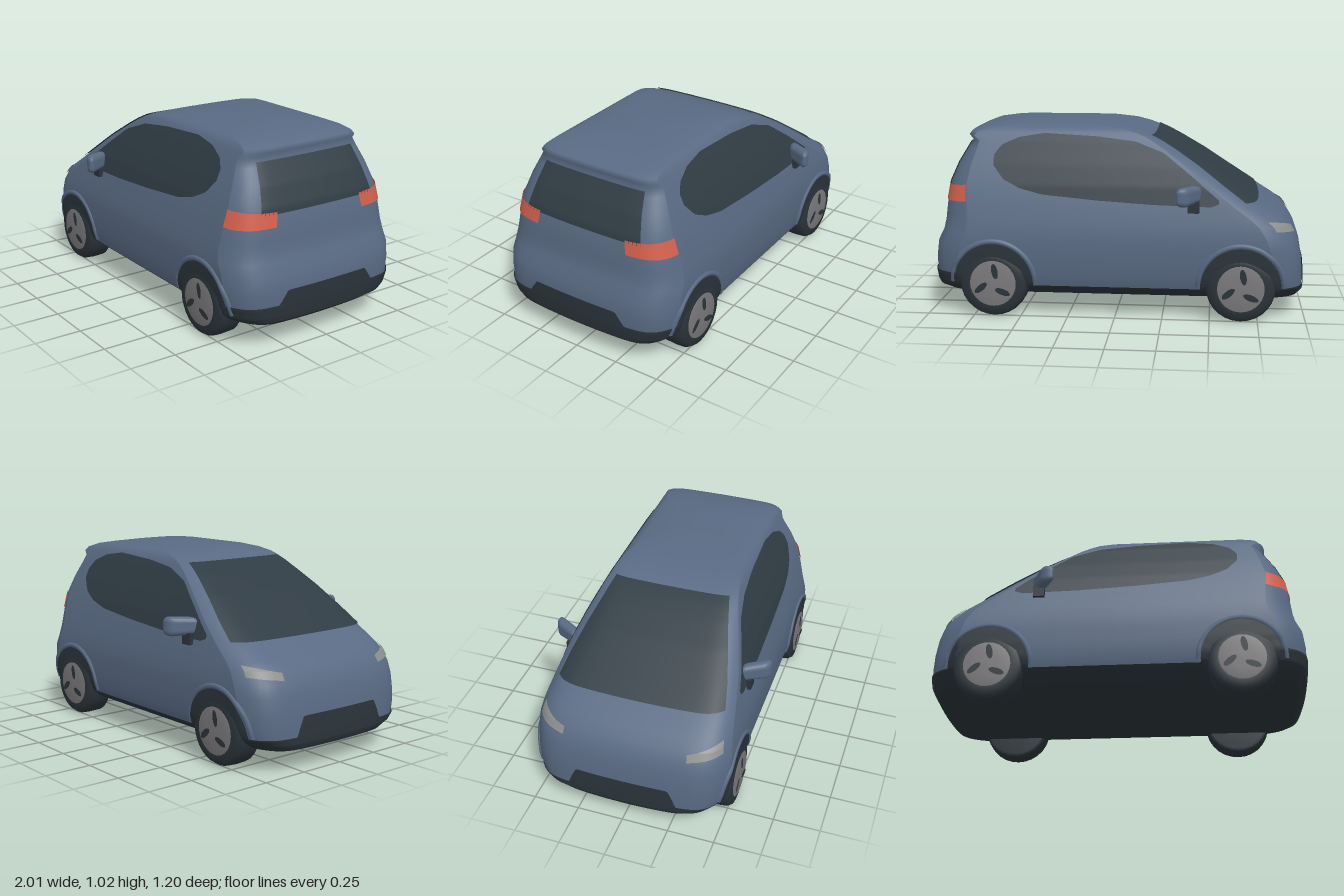
import * as THREE from 'three';
import { mergeVertices } from 'three/addons/utils/BufferGeometryUtils.js';
import { RoundedBoxGeometry } from 'three/addons/geometries/RoundedBoxGeometry.js';

const paint = (name, color, side = THREE.FrontSide) => {
  const m = new THREE.MeshStandardMaterial({ color, side });
  m.name = name;
  return m;
};

// Body rings, stacked by height: [y, front x, rear x, half width, corner bow]
const RINGS = [
  [0.11, -0.985, 0.95, 0.42, 1], [0.14, -1.0, 0.985, 0.47, 1], [0.17, -1.0, 0.99, 0.505, 1],
  [0.22, -0.998, 0.995, 0.52, 1], [0.3, -0.992, 0.995, 0.526, 1], [0.38, -0.978, 0.985, 0.527, 1],
  [0.44, -0.957, 0.955, 0.525, 1], [0.5, -0.92, 0.942, 0.514, 1], [0.54, -0.87, 0.938, 0.505, 0.97],
  [0.6, -0.775, 0.93, 0.491, 0.9], [0.7, -0.62, 0.91, 0.464, 0.75], [0.8, -0.47, 0.865, 0.425, 0.6],
  [0.88, -0.335, 0.815, 0.388, 0.45], [0.92, -0.26, 0.79, 0.37, 0.36], [0.945, -0.205, 0.812, 0.356, 0.3],
  [0.965, -0.155, 0.795, 0.346, 0.3], [0.985, -0.09, 0.745, 0.326, 0.4], [1.0, 0.0, 0.66, 0.29, 0.6],
  [1.012, 0.14, 0.58, 0.18, 0.5], [1.02, 0.32, 0.48, 0, 0],
];
const SILL = 2;

function ringAt(y) {
  let i = 0;
  while (i < RINGS.length - 2 && RINGS[i + 1][0] < y) i++;
  const a = RINGS[i], b = RINGS[i + 1], t = (y - a[0]) / (b[0] - a[0]);
  return a.map((v, k) => v + (b[k] - v) * t);
}
const curve = q => 0.03 * q * q + 0.14 * Math.pow(q, 10);
const endX = (r, dir, q) => (dir < 0 ? r[1] : r[2]) - dir * r[4] * curve(q);

// Point on a ring: nose, left side, tail, right side
function outline(r, u) {
  const t = u * 6, seg = Math.min(5, Math.floor(t)), s = t - seg;
  const out = 1 - (1 - s) ** 2, back = 1 - s * s;
  const xa = endX(r, -1, 1), xb = endX(r, 1, 1);
  const at = (dir, q) => [endX(r, dir, q), r[0], q * r[3]];
  return [
    () => at(-1, out), () => [xa + (xb - xa) * s, r[0], r[3]], () => at(1, back),
    () => at(1, -out), () => [xb + (xa - xb) * s, r[0], -r[3]], () => at(-1, -back),
  ][seg]();
}

// Half width of the body at a side position
function halfWidth(x, y) {
  const r = ringAt(y), dir = x < 0 ? -1 : 1;
  if (dir * x <= dir * endX(r, dir, 1)) return r[3];
  let lo = 0, hi = 1;
  for (let i = 0; i < 24; i++) {
    const q = (lo + hi) / 2;
    if (dir * endX(r, dir, q) > dir * x) lo = q; else hi = q;
  }
  return lo * r[3];
}

function grid(fn, nu, nv, flip = false) {
  const pos = [], idx = [];
  for (let j = 0; j <= nv; j++) for (let i = 0; i <= nu; i++) pos.push(...fn(i / nu, j / nv));
  for (let j = 0; j < nv; j++) for (let i = 0; i < nu; i++) {
    const a = j * (nu + 1) + i, b = a + 1, c = b + nu + 1, d = c - 1;
    idx.push(...(flip ? [a, c, b, a, d, c] : [a, b, c, a, c, d]));
  }
  let g = new THREE.BufferGeometry();
  g.setAttribute('position', new THREE.Float32BufferAttribute(pos, 3));
  g.setIndex(idx);
  g = mergeVertices(g, 1e-5);
  g.computeVertexNormals();
  return g;
}

function lerpPath(pts, x) {
  let i = 0;
  while (i < pts.length - 2 && pts[i + 1][0] < x) i++;
  const [a, b] = [pts[i], pts[i + 1]];
  return a[1] + (b[1] - a[1]) * (x - a[0]) / (b[0] - a[0]);
}

export function createModel() {
  const car = new THREE.Group();
  car.name = 'car';
  const body = paint('body blue', 0x596a83);
  const glass = paint('dark glass', 0x303c44, THREE.DoubleSide);
  const trim = paint('dark trim', 0x2b343a, THREE.DoubleSide);
  const red = paint('tail light red', 0xd2604c, THREE.DoubleSide);
  const lamp = paint('headlight grey', 0x8b8d8c, THREE.DoubleSide);
  const alloy = paint('hub grey', 0x7b797b);
  const add = (name, geo, mat, parent = car) => {
    const m = new THREE.Mesh(geo, mat);
    m.name = name;
    parent.add(m);
    return m;
  };

  // Shell, lower skirt and floor
  const rows = (a, b) => (u, v) => outline(RINGS[Math.round(a + (b - a) * v)], u);
  const top = RINGS.length - 1;
  add('bodyShell', grid(rows(SILL, top), 96, top - SILL), body);
  add('lowerSkirt', grid(rows(0, SILL), 96, SILL), trim);
  add('floor', grid((u, v) => {
    const [x, y, z] = outline(RINGS[0], u);
    return [x * v, y, z * v];
  }, 96, 4), trim);

  // Thin panels on the nose (dir -1) or tail (dir 1); f gives [width fraction, y]
  const endPanel = (name, mat, dir, f, nu = 32, nv = 14) => add(name, grid((u, v) => {
    const [q, y] = f(dir > 0 ? 1 - u : u, v), r = ringAt(y);
    return [endX(r, dir, q) + dir * 0.005, y + (dir < 0 ? 0.004 : 0), q * (r[3] + 0.004)];
  }, nu, nv), mat);

  endPanel('windscreen', glass, -1, (u, v) => [(u * 2 - 1) * (0.92 - 0.04 * v), 0.615 + 0.335 * v], 40, 30);
  endPanel('rearWindow', glass, 1, (u, v) => {
    const y = 0.67 + 0.235 * v;
    return [(u * 2 - 1) * (0.35 - 0.05 * v) / ringAt(y)[3], y];
  }, 32, 20);
  const step = q => THREE.MathUtils.clamp((0.57 - Math.abs(q)) / 0.1, 0, 1);
  endPanel('rearBumper', trim, 1, (u, v) => {
    const q = u * 2 - 1;
    return [q, 0.142 + v * (0.09 + 0.07 * step(q))];
  }, 80);
  endPanel('frontBumper', trim, -1, (u, v) => {
    const q = u * 2 - 1;
    return [q, 0.142 + v * (0.035 + 0.1 * step(q))];
  }, 80);

  // Side window outline
  const sillLine = [[-0.54, 0.62], [-0.5, 0.605], [-0.2, 0.612], [0.1, 0.63], [0.38, 0.655], [0.5, 0.685], [0.59, 0.73], [0.645, 0.8]];
  const roofLine = [[-0.54, 0.64], [-0.4, 0.755], [-0.25, 0.87], [-0.1, 0.925], [0.1, 0.948], [0.38, 0.962], [0.52, 0.94], [0.61, 0.9], [0.645, 0.85]];

  for (const s of [1, -1]) {
    const label = s > 0 ? 'left' : 'right';
    add(label + 'SideWindow', grid((u, v) => {
      const x = -0.54 + 1.185 * u, lo = lerpPath(sillLine, x), hi = lerpPath(roofLine, x);
      const y = lo + (hi - lo) * v;
      return [x, y, s * (halfWidth(x, y) + 0.006)];
    }, 60, 24, s < 0), glass);

    // Lights wrap round the corners
    const mirror = f => (u, v) => {
      const [q, y] = f(s > 0 ? u : 1 - u, v);
      return [s * q, y];
    };
    endPanel(label + 'TailLight', red, 1, mirror((u, v) => {
      const lo = 0.608 + 0.025 * Math.max(0, u - 0.7), hi = 0.68 + 0.02 * u;
      return [0.555 + 0.445 * (1 - (1 - u) ** 2), lo + (hi - lo) * v];
    }));
    endPanel(label + 'Headlight', lamp, -1, mirror((u, v) =>
      [0.63 + 0.31 * u, 0.453 + 0.022 * u + v * (0.035 + 0.016 * u)]));

    for (const [place, wx] of [['Front', -0.66], ['Rear', 0.64]]) {
      // Wheel arch with raised lip
      const arch = (a, r, lift) => {
        const x = wx + r * Math.cos(a), y = Math.max(0.115, 0.185 + r * Math.sin(a));
        return [x, y, s * (halfWidth(x, y) + lift)];
      };
      add(label + place + 'Arch', grid((u, v) => arch(-0.35 + (Math.PI + 0.7) * u, 0.21 * (1 - v), 0.005), 40, 12, s < 0), trim);
      const lip = [];
      for (let i = 0; i <= 16; i++) lip.push(new THREE.Vector3(...arch(Math.PI * i / 16, 0.222, -0.004)));
      add(label + place + 'ArchLip', new THREE.TubeGeometry(new THREE.CatmullRomCurve3(lip), 32, 0.015, 8), body);

      // Wheel
      const wheel = new THREE.Group();
      wheel.name = label + place + 'Wheel';
      wheel.position.set(wx, 0.183, s * 0.46);
      if (s < 0) wheel.rotation.y = Math.PI;
      car.add(wheel);
      const tyre = [[0, -0.075], [0.165, -0.075], [0.18, -0.06], [0.183, 0], [0.18, 0.045], [0.165, 0.068], [0.125, 0.074], [0, 0.072]];
      add('tyre', new THREE.LatheGeometry(tyre.map(p => new THREE.Vector2(...p)), 28).rotateX(Math.PI / 2), trim, wheel);
      const hub = [[0.126, 0.07], [0.12, 0.077], [0.06, 0.08], [0, 0.081]];
      add('hub', new THREE.LatheGeometry(hub.map(p => new THREE.Vector2(...p)), 28).rotateX(Math.PI / 2), alloy, wheel);
      for (let k = 0; k < 3; k++) {
        const slot = add('hubSlot', new THREE.CircleGeometry(1, 14).scale(0.042, 0.017, 1).rotateZ(0.35).translate(0.068, 0, 0.083), trim, wheel);
        slot.rotation.z = 1.4 + k * Math.PI * 2 / 3;
      }
    }

    // Door mirror, swept back towards its tip
    const head = new RoundedBoxGeometry(0.07, 0.1, 0.145, 4, 0.03);
    const p = head.attributes.position;
    for (let i = 0; i < p.count; i++) {
      const z = p.getZ(i);
      p.setX(i, p.getX(i) + z * 0.55);
      p.setY(i, p.getY(i) * (0.95 + z * 1.2));
    }
    head.computeVertexNormals();
    if (s < 0) head.rotateY(Math.PI).scale(-1, 1, 1);
    if (s < 0) {
      const ix = head.index;
      const n = ix ? ix.count : p.count;
      if (!ix) head.setIndex([...Array(n).keys()]);
      for (let i = 0; i < n; i += 3) {
        const a = head.index.getX(i);
        head.index.setX(i, head.index.getX(i + 2));
        head.index.setX(i + 2, a);
      }
      head.computeVertexNormals();
    }
    add(label + 'Mirror', head, body).position.set(-0.385, 0.668, s * 0.528);
    add(label + 'MirrorFoot', new THREE.BoxGeometry(0.06, 0.06, 0.05), trim).position.set(-0.41, 0.605, s * 0.492);
  }
  return car;
}
